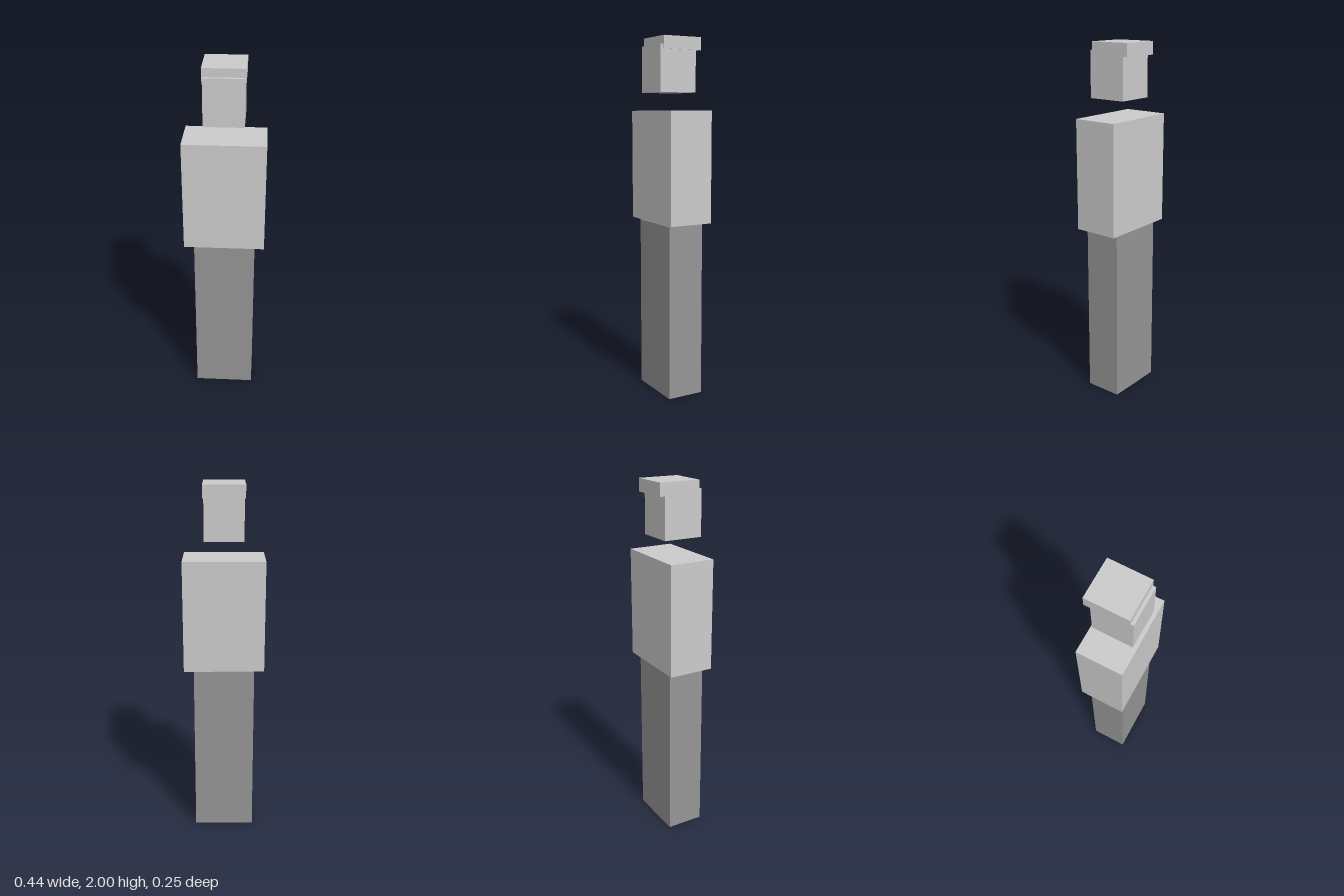
import * as THREE from 'three';

const light = new THREE.MeshStandardMaterial({ color: 0xcccccc });
const dark = new THREE.MeshStandardMaterial({ color: 0x959595 });

// Box given by its extents along each axis
function block(name, [x0, x1], [y0, y1], [z0, z1], material) {
  const mesh = new THREE.Mesh(new THREE.BoxGeometry(x1 - x0, y1 - y0, z1 - z0), material);
  mesh.position.set((x0 + x1) / 2, (y0 + y1) / 2, (z0 + z1) / 2);
  mesh.name = name;
  return mesh;
}

export function createModel() {
  const model = new THREE.Group();
  model.name = 'blockFigure';
  model.add(
    block('legs', [-0.168, 0.168], [0, 0.98], [-0.105, 0.105], dark),
    block('torso', [-0.222, 0.222], [0.99, 1.605], [-0.128, 0.127], light),
    // The face stands slightly proud of the cap
    block('head', [-0.107, 0.106], [1.703, 1.955], [-0.097, 0.122], light),
    block('cap', [-0.112, 0.111], [1.93, 2], [-0.128, 0.105], light),
  );
  return model;
}
